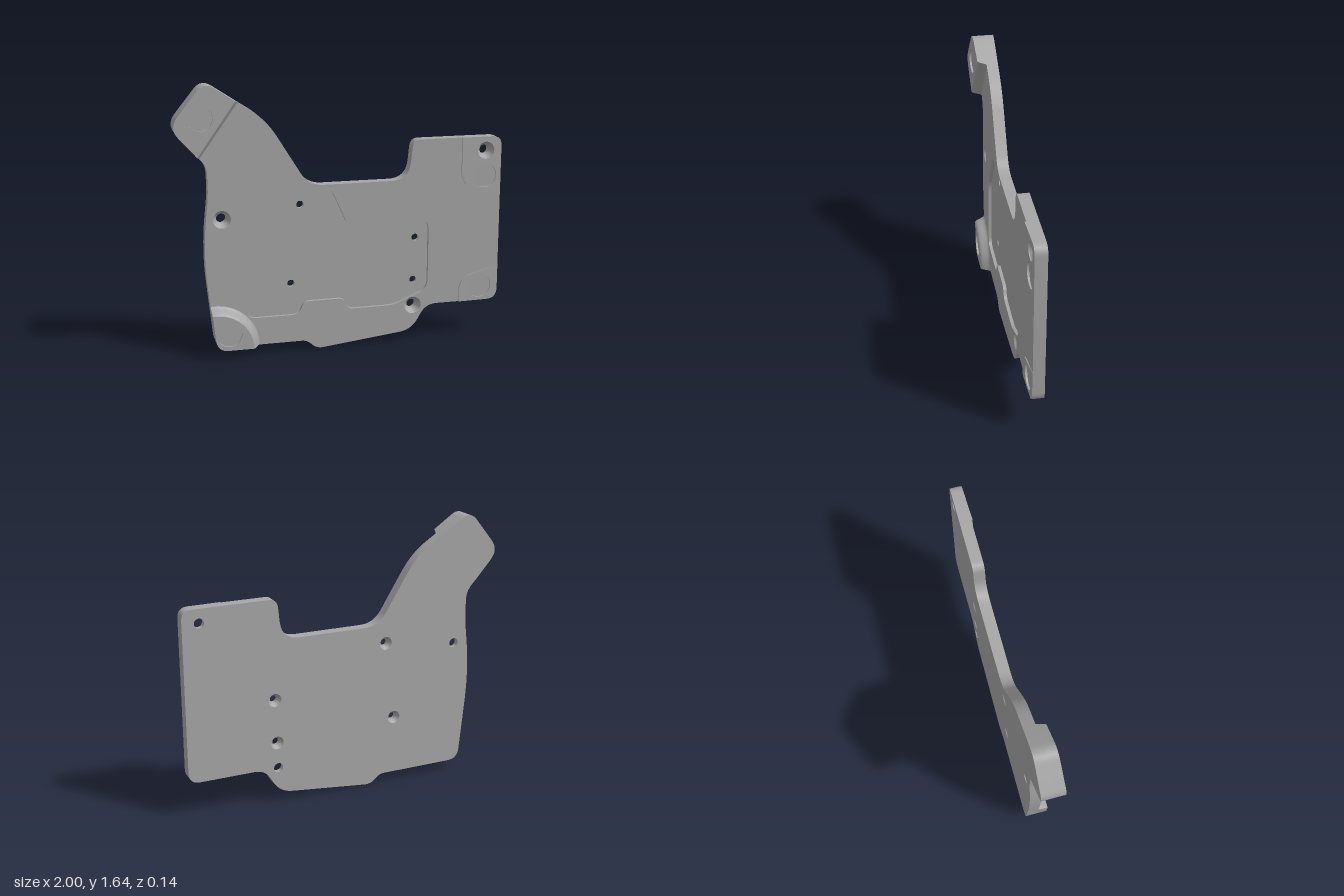
import * as THREE from 'three';
import { mergeGeometries, toCreasedNormals } from 'three/addons/utils/BufferGeometryUtils.js';

const BACK = -0.07, FLOOR = -0.02;
const grey = new THREE.MeshStandardMaterial({ color: 0xa6a6a6 });
grey.name = 'plain grey';

// Closed loop from corners [x, y, setback], each corner eased by a quadratic curve
function rounded(corners, steps = 8) {
  const out = [];
  const n = corners.length;
  const v = corners.map(c => new THREE.Vector2(c[0], c[1]));
  for (let i = 0; i < n; i++) {
    const r = corners[i][2] || 0, p = v[i];
    if (!r) { out.push(p); continue; }
    const toward = q => q.clone().sub(p).setLength(r).add(p);
    const curve = new THREE.QuadraticBezierCurve(toward(v[(i + n - 1) % n]), p, toward(v[(i + 1) % n]));
    out.push(...curve.getPoints(steps));
  }
  return out;
}

function circle(x, y, r, n = 40) {
  return Array.from({ length: n }, (_, i) => {
    const a = i / n * Math.PI * 2;
    return new THREE.Vector2(x + r * Math.cos(a), y + r * Math.sin(a));
  });
}

const asRule = z => (typeof z === 'function' ? z : () => z);
const lift = (pts, z) => pts.map(p => new THREE.Vector3(p.x, p.y, asRule(z)(p.x)));

// Flat or tilted face with holes
function face(loop, holes, z, back = false) {
  const shape = new THREE.Shape(loop);
  shape.holes = holes.map(h => new THREE.Path(h));
  const g = new THREE.ShapeGeometry(shape);
  const pos = g.attributes.position;
  for (let i = 0; i < pos.count; i++) pos.setZ(i, asRule(z)(pos.getX(i)));
  if (back) {
    const idx = g.index.array;
    for (let i = 0; i < idx.length; i += 3) [idx[i], idx[i + 1]] = [idx[i + 1], idx[i]];
  }
  return finish(g);
}

function finish(g) {
  g.deleteAttribute('uv');
  g.deleteAttribute('normal');
  const flat = g.toNonIndexed();
  flat.computeVertexNormals();
  return toCreasedNormals(flat, 0.6);
}

// Surface through rows of points, lowest row first
function loft(rows, closed) {
  const n = rows[0].length, index = [];
  for (let k = 0; k < rows.length - 1; k++) {
    for (let i = 0; i < (closed ? n : n - 1); i++) {
      const j = (i + 1) % n, a = k * n + i, b = k * n + j;
      index.push(a, b, b + n, a, b + n, a + n);
    }
  }
  const g = new THREE.BufferGeometry().setFromPoints(rows.flat());
  g.setIndex(index);
  return finish(g);
}

const wall = (loop, z0, z1) => loft([lift(loop, z0), lift(loop, z1)], true);
const holeWall = (loop, z0, z1) => wall([...loop].reverse(), z0, z1);

// Bored hole from rings [radius, z], lowest first
const bore = (x, y, rings) =>
  loft(rings.map(([r, z]) => lift(circle(x, y, r).reverse(), z)), true);

function part(name, geometries) {
  const mesh = new THREE.Mesh(mergeGeometries(geometries), grey);
  mesh.name = name;
  return mesh;
}

// Raised pad with a round foot recess and a smooth step; rim(t) gives the step edge, t 0 inner to 1 outer
function steppedPad(name, corners, rim, foot, z) {
  const loop = rounded(corners), top = asRule(z);
  const disc = circle(foot[0], foot[1], 0.075);
  const sunk = x => top(x) - 0.012;
  const rows = [];
  for (let k = 8; k >= 0; k--) {
    const t = k / 8, f = 0.5 + 0.5 * Math.cos(Math.PI * t);
    rows.push(lift(rim(t), x => top(x) * f));
  }
  const ends = [0, rows[0].length - 1].map((e, side) => {
    const high = rows.map(r => r[e]);
    if (side === 0) high.reverse();
    return loft([high.map(p => new THREE.Vector3(p.x, p.y, 0)), high], false);
  });
  return part(name, [
    face(loop, [disc], z), wall(loop, 0, z), loft(rows, false), ...ends,
    face(disc, [], sunk), holeWall(disc, sunk, z),
  ]);
}

export function createModel() {
  const model = new THREE.Group();
  model.name = 'mountingPlate';

  const outline = rounded([
    [-0.23, 0.05, 0.03], [-0.165, -0.008, 0.04], [0.44, 0.06, 0.08], [0.53, 0.22, 0.07],
    [1, 0.22, 0.07], [1, 1.26, 0.06], [0.435, 1.26, 0.05], [0.41, 1.015, 0.11],
    [-0.21, 1.015, 0.09], [-0.46, 1.42, 0.12], [-0.62, 1.523], [-0.645, 1.54],
    [-0.82, 1.655, 0.07], [-1.025, 1.4, 0.08], [-0.87, 1.225], [-0.85, 1.205],
    [-0.81, 1.155, 0.04], [-0.805, 1.0, 0.07], [-0.845, 0.65, 0.2], [-0.812, 0.315],
    [-0.785, 0.05, 0.07],
  ]);
  const pocket = rounded([
    [-0.595, 0.22, 0.06], [-0.28, 0.22, 0.04], [-0.24, 0.3, 0.03], [0, 0.3, 0.03],
    [0.035, 0.23, 0.03], [0.32, 0.23, 0.05], [0.54, 0.32, 0.06], [0.54, 0.76, 0.06],
    [0.03, 0.76, 0.04], [-0.08, 1.002, 0.06], [-0.4, 1.002, 0.06], [-0.595, 0.69, 0.06],
  ]);
  const frontHoles = [[-0.73, 0.84], [0.9, 1.175], [0.445, 0.22]];
  const backHoles = [[-0.26, 0.9], [-0.32, 0.415], [0.46, 0.65], [0.45, 0.38]];
  const rightFeet = [[0.895, 1.02], [0.88, 0.315]];
  const rings = (list, r) => list.map(([x, y]) => circle(x, y, r));

  // Plate body
  model.add(part('plate', [
    face(outline, [pocket, ...rings(frontHoles, 0.053), ...rings(rightFeet, 0.075)], 0),
    face(outline, [...rings(frontHoles, 0.029), ...rings(backHoles, 0.04)], BACK, true),
    wall(outline, BACK, 0),
  ]));

  // Recessed pocket in the front
  model.add(part('pocket', [
    face(pocket, rings(backHoles, 0.022), FLOOR), holeWall(pocket, FLOOR, 0),
  ]));

  // Countersunk screw holes, three from the front and four from the back
  model.add(part('frontScrewHoles', frontHoles.map(([x, y]) =>
    bore(x, y, [[0.029, BACK], [0.029, -0.035], [0.053, 0]]))));
  model.add(part('backScrewHoles', backHoles.map(([x, y]) =>
    bore(x, y, [[0.04, BACK], [0.022, -0.045], [0.022, FLOOR]]))));

  // Raised pad on the upper arm
  const mix = THREE.MathUtils.lerp;
  model.add(steppedPad('armPad',
    [[-0.645, 1.54], [-0.82, 1.655, 0.07], [-1.025, 1.4, 0.08], [-0.87, 1.225]],
    t => [
      new THREE.Vector2(mix(-0.87, -0.85, t), mix(1.225, 1.205, t)),
      new THREE.Vector2(mix(-0.645, -0.62, t), mix(1.54, 1.523, t)),
    ],
    [-0.85, 1.45], x => 0.068 - 0.04 * (x + 1)));

  // Raised quarter-round pad in the lower corner
  const arc = r => Array.from({ length: 21 }, (_, i) => {
    const a = i / 20 * Math.atan2(0.265, -0.027);
    return new THREE.Vector2(-0.785 + r * Math.cos(a), 0.05 + r * Math.sin(a));
  });
  model.add(steppedPad('cornerPad',
    [[-0.785, 0.05, 0.07], ...arc(0.22).map(p => [p.x, p.y])],
    t => arc(mix(0.22, 0.265, t)), [-0.71, 0.15], 0.062));

  // Thin tapering pads on the other side
  const taper = x => 0.001 + 0.03 * (1 - x);
  const thinPads = [
    [[0.745, 1.26], [0.745, 0.97, 0.08], [1, 0.9], [1, 1.26, 0.06]],
    [[0.745, 0.22], [1, 0.22, 0.07], [1, 0.44], [0.745, 0.375, 0.08]],
  ];
  thinPads.forEach((corners, i) => {
    const loop = rounded(corners);
    const disc = circle(...rightFeet[i], 0.075);
    const geos = [
      face(loop, i ? [disc] : [disc, circle(0.9, 1.175, 0.053)], taper),
      wall(loop, 0, taper), face(disc, [], -0.006), holeWall(disc, -0.006, taper),
    ];
    if (!i) geos.push(holeWall(circle(0.9, 1.175, 0.053), 0, taper));
    model.add(part(i ? 'lowerThinPad' : 'upperThinPad', geos));
  });

  return model;
}
